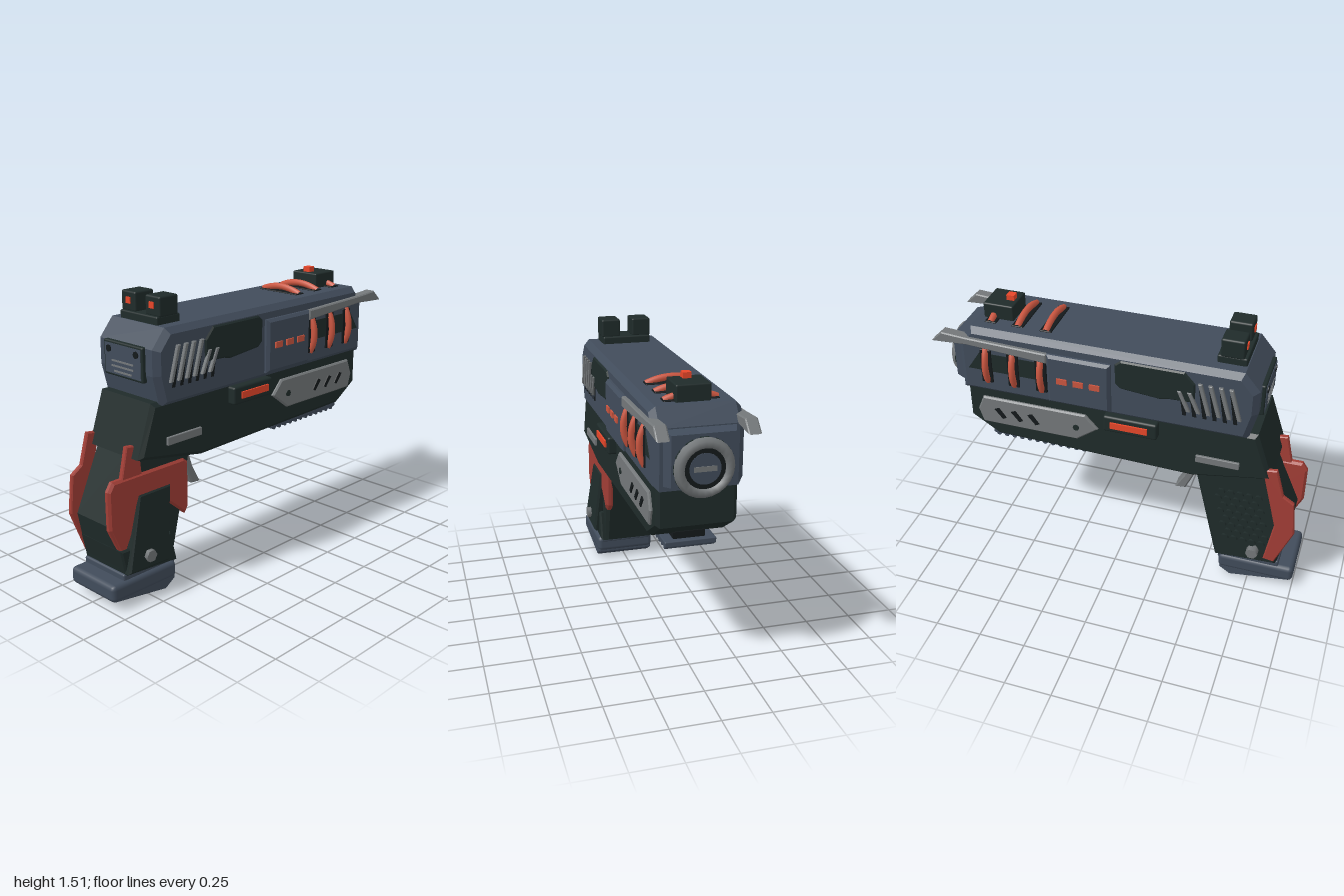
import * as THREE from 'three';
import { RoundedBoxGeometry } from 'three/addons/geometries/RoundedBoxGeometry.js';

const paint = (name, color) => {
  const m = new THREE.MeshStandardMaterial({ color });
  m.name = name;
  return m;
};

export function createModel() {
  const slate = paint('slate', 0x414c5b), dark = paint('dark green', 0x1f2b2a), grey = paint('grey', 0x74787a);
  const red = paint('red', 0xa23e36), orange = paint('orange', 0xe8472a), copper = paint('copper', 0xcb5640);
  const black = paint('black', 0x14191b);
  const model = new THREE.Group();
  model.name = 'blaster';

  const add = (name, geo, mat, x = 0, y = 0, z = 0) => {
    const m = new THREE.Mesh(geo, mat);
    m.name = name;
    m.position.set(x, y, z);
    model.add(m);
    return m;
  };
  const box = (name, w, h, d, mat, x, y, z, r = 0) =>
    add(name, r ? new RoundedBoxGeometry(w, h, d, 2, r) : new THREE.BoxGeometry(w, h, d), mat, x, y, z);

  // Side outline of [z, y] points, extruded from x0 to x1 with chamfered rims
  const slab = (name, pts, x0, x1, mat, b = 0) => {
    const shape = new THREE.Shape(pts.map(([z, y]) => new THREE.Vector2(-z, y)));
    const geo = new THREE.ExtrudeGeometry(shape, {
      depth: Math.abs(x1 - x0) - 2 * b, bevelEnabled: b > 0, bevelSize: b,
      bevelThickness: b, bevelOffset: -b, bevelSegments: 1,
    });
    geo.translate(0, 0, b).rotateY(Math.PI / 2).translate(Math.min(x0, x1), 0, 0);
    return add(name, geo, mat);
  };
  const rod = (name, r, len, sides, mat, x, y, z, axis) => {
    const geo = new THREE.CylinderGeometry(r, r, len, sides);
    if (axis === 'x') geo.rotateZ(Math.PI / 2);
    if (axis === 'z') geo.rotateX(Math.PI / 2);
    return add(name, geo.toNonIndexed(), mat, x, y, z);
  };
  const arc = (name, a, b, c) => add(name, new THREE.TubeGeometry(
    new THREE.QuadraticBezierCurve3(new THREE.Vector3(...a), new THREE.Vector3(...b), new THREE.Vector3(...c)),
    12, 0.018, 8), copper);

  // Slide, with a tapered nose
  slab('slide', [[0.65, 1.375], [0.73, 1.28], [0.73, 1.15], [0.69, 0.99], [-0.86, 0.99], [-0.86, 1.29], [-0.79, 1.375]],
    -0.22, 0.22, slate, 0.03);
  const nose = new THREE.BoxGeometry(0.4, 0.3, 0.14);
  const np = nose.attributes.position;
  for (let i = 0; i < np.count; i++) {
    if (np.getZ(i) < 0) np.setXY(i, np.getX(i) * 0.76, np.getY(i) * 0.82);
  }
  nose.computeVertexNormals();
  add('slideNose', nose, slate, 0, 1.15, -0.85);

  // Frame below the slide
  slab('frame', [[0.74, 1.02], [0.83, 0.755], [0.41, 0.68], [-0.69, 0.705], [-0.84, 0.8], [-0.84, 1.02]],
    -0.2, 0.2, dark, 0.02);

  // Muzzle
  rod('muzzleCollar', 0.135, 0.06, 12, dark, 0, 1.115, -0.91, 'z');
  for (let i = 0; i < 12; i++) {
    const a = (i * Math.PI) / 6;
    const lug = box('muzzleLug', 0.04, 0.025, 0.05, dark, Math.cos(a) * 0.132, 1.115 + Math.sin(a) * 0.132, -0.905);
    lug.rotation.z = a + Math.PI / 2;
  }
  const ring = [[0.09, -0.02], [0.14, -0.02], [0.145, 0], [0.13, 0.022], [0.1, 0.022], [0.09, -0.02]]
    .map(([r, y]) => new THREE.Vector2(r, y));
  add('muzzleRing', new THREE.LatheGeometry(ring, 24).rotateX(-Math.PI / 2), grey, 0, 1.115, -0.932);
  rod('muzzleBore', 0.1, 0.01, 24, black, 0, 1.115, -0.938, 'z');
  rod('muzzleDisc', 0.075, 0.01, 24, slate, 0, 1.115, -0.941, 'z');
  box('muzzleSlot', 0.11, 0.025, 0.008, grey, 0, 1.115, -0.945);

  // Rear plate with screws and vent lines
  box('rearPlate', 0.286, 0.175, 0.03, dark, 0, 1.198, 0.733, 0.008);
  box('rearPlateInset', 0.26, 0.15, 0.008, slate, 0, 1.198, 0.747);
  for (const s of [-1, 1]) rod('rearScrew', 0.018, 0.016, 8, black, s * 0.1, 1.245, 0.748, 'z');
  [0.16, 0.16, 0.13].forEach((w, i) => box('rearVent', w, 0.009, 0.008, grey, 0, 1.19 - i * 0.026, 0.75));

  // Sights
  box('rearSightBase', 0.27, 0.05, 0.15, dark, 0, 1.39, 0.57, 0.008);
  for (const s of [-1, 1]) {
    box('rearSightPost', 0.105, 0.1, 0.12, dark, s * 0.0875, 1.46, 0.57, 0.01);
    box('rearSightDot', 0.032, 0.032, 0.008, orange, s * 0.085, 1.465, 0.632);
  }
  box('frontSight', 0.17, 0.09, 0.165, dark, 0, 1.412, -0.678, 0.008);
  box('frontSightDot', 0.042, 0.035, 0.042, orange, 0, 1.468, -0.635);

  // Curved coils over the top
  for (const z of [-0.4, -0.555, -0.705]) {
    box('topCoilSlot', 0.27, 0.012, 0.064, black, 0, 1.375, z, 0.005);
    arc('topCoil', [-0.13, 1.375, z], [0, 1.43, z], [0.13, 1.375, z]);
  }

  // Fittings on both flanks
  for (const s of [-1, 1]) {
    const side = (name, pts, x0, x1, mat, b) => slab(name, pts, s * x0, s * x1, mat, b);
    side('rail', [[-0.36, 1.31], [-0.8, 1.325], [-0.94, 1.335], [-1, 1.275], [-0.8, 1.285], [-0.36, 1.255]], 0.18, 0.242, grey, 0.006);
    side('midBlock', [[-0.02, 1.31], [-0.36, 1.31], [-0.36, 1.025], [-0.02, 1.025]], 0.19, 0.247, slate, 0.015);
    for (let i = 0; i < 3; i++) box('midLight', 0.02, 0.032, 0.055, copper, s * 0.245, 1.17, -0.1 - i * 0.088);
    side('ejectionCover', [[0.415, 1.28], [0.36, 1.34], [0.03, 1.34], [0, 1.315], [0, 1.2], [0.03, 1.175], [0.24, 1.155], [0.28, 1.165], [0.415, 1.17]],
      0.2, 0.228, dark, 0.008);

    // Slanted cocking ribs
    for (let i = 0; i < 6; i++) {
      const z = 0.625 - i * 0.052, top = 1.29 - (i > 3 ? 0.06 : 0);
      side('ribShadow', [[z - 0.015, 1.25], [z - 0.035, 1.25], [z - 0.01, 1.085], [z + 0.01, 1.085]], 0.21, 0.223, black);
      side('rib', [[z - 0.02, top], [z - 0.04, top], [z + 0.01, 1.115], [z + 0.03, 1.115]], 0.21, 0.236, grey, 0.003);
    }

    // Side coils
    side('coilBand', [[-0.37, 1.24], [-0.68, 1.24], [-0.72, 1.27], [-0.81, 1.135], [-0.37, 1.135]], 0.215, 0.223, dark);
    for (const z of [-0.4, -0.555, -0.705]) {
      box('coilSlot', 0.014, 0.2, 0.064, black, s * 0.22, 1.165, z, 0.005);
      arc('sideCoil', [s * 0.215, 1.07, z], [s * 0.27, 1.165, z], [s * 0.215, 1.265, z]);
    }

    // Frame plate with slots and a screw
    side('framePlate', [[-0.1, 0.88], [-0.17, 0.955], [-0.75, 0.955], [-0.785, 0.87], [-0.76, 0.79], [-0.22, 0.79]],
      0.19, 0.216, grey, 0.008);
    for (const z of [-0.46, -0.555, -0.65]) {
      side('plateSlot', [[z - 0.01, 0.9], [z - 0.035, 0.89], [z + 0.01, 0.835], [z + 0.03, 0.845]], 0.21, 0.222, black);
    }
    rod('plateScrew', 0.018, 0.014, 8, dark, s * 0.214, 0.87, -0.22, 'x');

    // Lit button and rear tag
    box('buttonHousing', 0.06, 0.095, 0.29, dark, s * 0.215, 0.953, 0.085, 0.012);
    box('button', 0.014, 0.036, 0.2, orange, s * 0.247, 0.953, 0.08);
    box('frameTag', 0.03, 0.042, 0.23, grey, s * 0.198, 0.815, 0.545, 0.004);
  }

  // Rail under the frame
  box('underRailMount', 0.16, 0.04, 0.5, black, 0, 0.7, -0.47);
  box('underRail', 0.26, 0.03, 0.56, slate, 0, 0.67, -0.47, 0.006);
  for (let i = 0; i < 12; i++) rod('underRailTooth', 0.014, 0.25, 8, slate, 0, 0.653, -0.215 - i * 0.046, 'x');

  // Trigger
  slab('trigger', [[0.41, 0.7], [0.4, 0.585], [0.345, 0.46], [0.285, 0.455], [0.335, 0.55], [0.385, 0.7]], -0.045, 0.045, grey, 0.008);

  // Grip
  slab('grip', [[0.77, 0.82], [0.95, 0.42], [0.9, 0.15], [0.56, 0.13], [0.42, 0.72]], -0.175, 0.13, dark, 0.02);
  slab('gripFoot', [[0.93, 0.3], [0.9, 0.155], [0.56, 0.13], [0.6, 0.3]], -0.165, 0.155, dark, 0.01);

  // Red guards and the flared cover on the left of the grip
  slab('leftGuard', [[0.95, 0.665], [0.49, 0.665], [0.46, 0.64], [0.46, 0.4], [0.485, 0.36], [0.59, 0.45], [0.8, 0.45], [0.9, 0.25],
    [0.98, 0.42], [0.98, 0.62]], 0.1, 0.142, red, 0.012);
  const backTab = [[0.855, 0.82], [0.78, 0.81], [0.76, 0.62], [0.9, 0.62]];
  slab('leftGuardTab', backTab, 0.105, 0.135, red, 0.005);
  slab('rightGuard', [[0.855, 0.82], [0.78, 0.81], [0.87, 0.45], [0.83, 0.2], [0.89, 0.19], [0.98, 0.42], [0.96, 0.62], [0.9, 0.66]],
    -0.192, -0.165, red, 0.006);
  const cover = slab('gripCover', [[0.8, 0.56], [0.585, 0.56], [0.64, 0.165], [0.905, 0.175]], 0.1, 0.15, dark, 0.012);
  const cp = cover.geometry.attributes.position;
  for (let i = 0; i < cp.count; i++) cp.setX(i, cp.getX(i) + (0.55 - cp.getY(i)) * 0.09);
  cover.geometry.computeVertexNormals();
  rod('leftKnob', 0.033, 0.04, 6, grey, 0.18, 0.24, 0.77, 'x');
  rod('rightKnob', 0.033, 0.05, 6, grey, -0.195, 0.24, 0.77, 'x');

  // Studded texture on the right of the grip
  for (let r = 0; r < 8; r++) {
    for (let c = 0; c < 5; c++) {
      const y = 0.29 + r * 0.045;
      rod('gripStud', 0.022, 0.016, 6, dark, -0.18, y, 0.61 + c * 0.05 + (r % 2) * 0.025 - (y - 0.29) * 0.2, 'x');
    }
  }

  // Magazine base
  box('magazineNeck', 0.31, 0.06, 0.34, slate, -0.005, 0.14, 0.745, 0.01);
  box('magazineBase', 0.34, 0.092, 0.42, slate, 0, 0.093, 0.79, 0.025);
  slab('magazineSole', [[0.98, 0.05], [0.65, 0], [0.59, 0.04], [0.59, 0.08], [0.98, 0.08]], -0.165, 0.165, slate, 0.006);

  return model;
}
